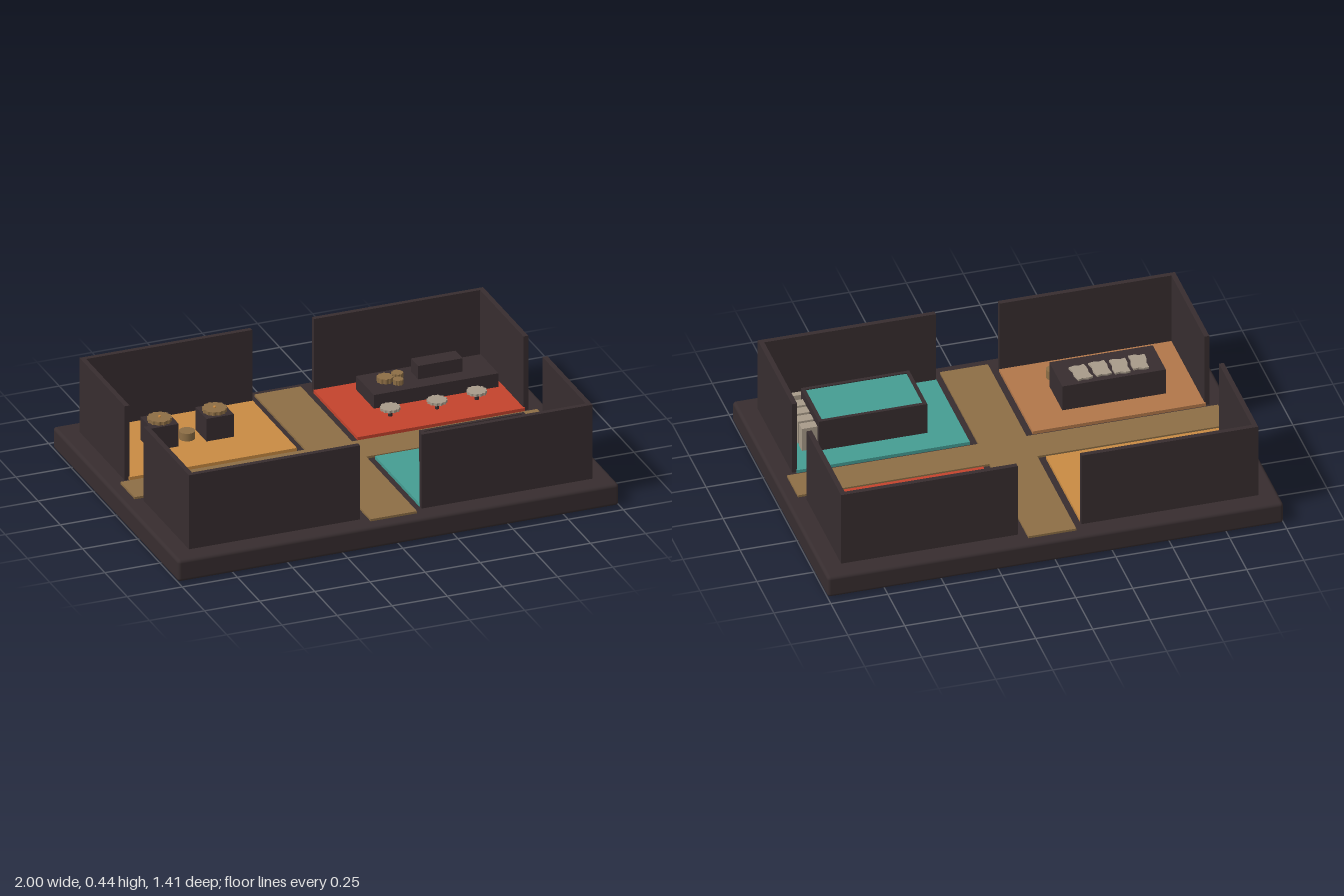
import * as THREE from 'three';
import { RoundedBoxGeometry } from 'three/addons/geometries/RoundedBoxGeometry.js';

const mat = (name, color) => {
  const m = new THREE.MeshStandardMaterial({ color });
  m.name = name;
  return m;
};

export function createModel() {
  const dark = mat('dark wood', 0x372d2f);
  const brass = mat('brass brown', 0x8d6e45);
  const gold = mat('gold', 0xc98b43);
  const red = mat('red', 0xc4432d);
  const clay = mat('clay', 0xb2774a);
  const teal = mat('teal', 0x459d93);
  const pale = mat('pale stone', 0xa89b8a);

  const model = new THREE.Group();
  model.name = 'fourRoomCourt';
  const FLOOR = 0.115;

  const group = (name, parent = model) => {
    const g = new THREE.Group();
    g.name = name;
    parent.add(g);
    return g;
  };
  const add = (parent, name, geo, material, x = 0, y = 0, z = 0) => {
    const m = new THREE.Mesh(geo, material);
    m.name = name;
    m.position.set(x, y, z);
    parent.add(m);
    return m;
  };
  // Box given by its limits on each axis
  const box = (parent, name, material, x0, x1, y0, y1, z0, z1) =>
    add(parent, name, new THREE.BoxGeometry(x1 - x0, y1 - y0, z1 - z0), material,
      (x0 + x1) / 2, (y0 + y1) / 2, (z0 + z1) / 2);
  // Upright cylinder standing on y
  const disc = (parent, name, material, r, h, x, y, z, sides = 20) =>
    add(parent, name, new THREE.CylinderGeometry(r, r, h, sides), material, x, y + h / 2, z);
  // Flat plate cut from an outline, lying on y
  const plate = (parent, name, material, points, h, x, y, z) => {
    const geo = new THREE.ExtrudeGeometry(new THREE.Shape(points), { depth: h, bevelEnabled: false });
    geo.rotateX(-Math.PI / 2);
    return add(parent, name, geo, material, x, y, z);
  };
  const toothed = (r, teeth, depth) => Array.from({ length: teeth * 4 }, (_, i) => {
    const a = (i / (teeth * 4)) * Math.PI * 2;
    const rad = i % 4 < 2 ? r : r * (1 - depth);
    return new THREE.Vector2(Math.cos(a) * rad, Math.sin(a) * rad);
  });

  // Base slab and crossing paths
  add(model, 'base', new RoundedBoxGeometry(2, 0.1, 1.41, 3, 0.015), dark, 0, 0.05, 0);
  box(model, 'longPath', brass, -0.945, 0.945, 0.09, 0.11, -0.08, 0.08);
  for (const s of [-1, 1]) {
    box(model, 'crossPath', brass, -0.105, 0.105, 0.09, 0.11, s > 0 ? 0.08 : -0.655, s > 0 ? 0.65 : -0.08);
  }

  // Four rooms: floor, end wall and side wall
  const room = (name, sx, sz, floorMat) => {
    const g = group(name);
    const span = (s, a, b) => (s > 0 ? [a, b] : [-b, -a]);
    box(g, 'floor', floorMat, ...span(sx, 0.138, 0.897), 0.09, FLOOR, ...span(sz, 0.098, 0.595));
    box(g, 'endWall', dark, ...span(sx, 0.14, 0.915), 0.09, 0.445, ...span(sz, 0.593, 0.615));
    box(g, 'sideWall', dark, ...span(sx, 0.893, 0.915), 0.09, 0.445, ...span(sz, 0.107, 0.593));
    return g;
  };
  const goldRoom = room('goldRoom', -1, -1, gold);
  const redRoom = room('redRoom', 1, -1, red);
  const clayRoom = room('clayRoom', -1, 1, clay);
  const tealRoom = room('tealRoom', 1, 1, teal);

  // Gold room: two pedestals with toothed wheels, and a small drum between
  for (const x of [-0.655, -0.405]) {
    box(goldRoom, 'pedestal', dark, x - 0.062, x + 0.062, FLOOR, 0.22, -0.422, -0.298);
    plate(goldRoom, 'pedestalWheel', brass, toothed(0.053, 12, 0.08), 0.016, x, 0.22, -0.36);
    disc(goldRoom, 'wheelHub', gold, 0.006, 0.006, x, 0.235, -0.36, 10);
  }
  disc(goldRoom, 'drum', brass, 0.034, 0.035, -0.53, FLOOR, -0.36);

  // Red room: workbench with wheels and a chest, toothed stools in front
  box(redRoom, 'workbench', dark, 0.305, 0.87, FLOOR, 0.178, -0.53, -0.33);
  box(redRoom, 'benchChest', dark, 0.535, 0.737, 0.178, 0.24, -0.482, -0.402);
  for (const [x, z, r] of [[0.4, -0.44, 0.036], [0.462, -0.456, 0.026], [0.442, -0.396, 0.023]]) {
    plate(redRoom, 'benchWheel', brass, toothed(r, 10, 0.1), 0.022, x, 0.178, z);
  }
  for (const [x, z] of [[0.343, -0.24], [0.552, -0.232], [0.74, -0.252]]) {
    disc(redRoom, 'stoolStem', dark, 0.009, 0.032, x, FLOOR, z, 10);
    plate(redRoom, 'stoolTop', pale, toothed(0.044, 12, 0.1), 0.012, x, 0.146, z);
  }

  // Clay room: table with ragged sheets and a row of round seats
  box(clayRoom, 'table', dark, -0.757, -0.303, FLOOR, 0.235, 0.217, 0.41);
  const ragged = [[-0.035, -0.052], [-0.012, -0.047], [0.01, -0.054], [0.035, -0.05], [0.03, -0.018],
    [0.036, 0.012], [0.031, 0.052], [0.008, 0.047], [-0.014, 0.054], [-0.036, 0.05], [-0.031, 0.015],
    [-0.037, -0.015]].map(([x, y]) => new THREE.Vector2(x, y));
  [[-0.661, 0.297, -0.1], [-0.576, 0.29, -0.06], [-0.492, 0.296, 0.06], [-0.405, 0.29, 0.1]]
    .forEach(([x, z, turn]) => {
      plate(clayRoom, 'sheet', pale, ragged, 0.009, x, 0.235, z).rotation.y = turn;
    });
  for (let i = 0; i < 4; i++) {
    disc(clayRoom, 'roundSeat', brass, 0.028, 0.04, -0.711 + i * 0.125, FLOOR, 0.474);
  }

  // Teal room: framed basin, filled nearly to the rim, with pale blocks beside it
  const basin = group('basin', tealRoom);
  box(basin, 'basinBody', dark, 0.29, 0.765, FLOOR, 0.25, 0.215, 0.483);
  box(basin, 'basinWater', teal, 0.306, 0.749, 0.25, 0.256, 0.231, 0.467);
  for (const [x0, x1, z0, z1] of [[0.29, 0.765, 0.215, 0.231], [0.29, 0.765, 0.467, 0.483],
    [0.29, 0.306, 0.231, 0.467], [0.749, 0.765, 0.231, 0.467]]) {
    box(basin, 'basinRim', dark, x0, x1, 0.25, 0.26, z0, z1);
  }
  for (let i = 0; i < 5; i++) {
    const z = 0.255 + i * 0.058;
    box(tealRoom, 'paleBlock', pale, i === 4 ? 0.7 : 0.766, 0.835, FLOOR, 0.225,
      i === 4 ? 0.484 : z - 0.022, i === 4 ? 0.51 : z + 0.022);
  }
  return model;
}
